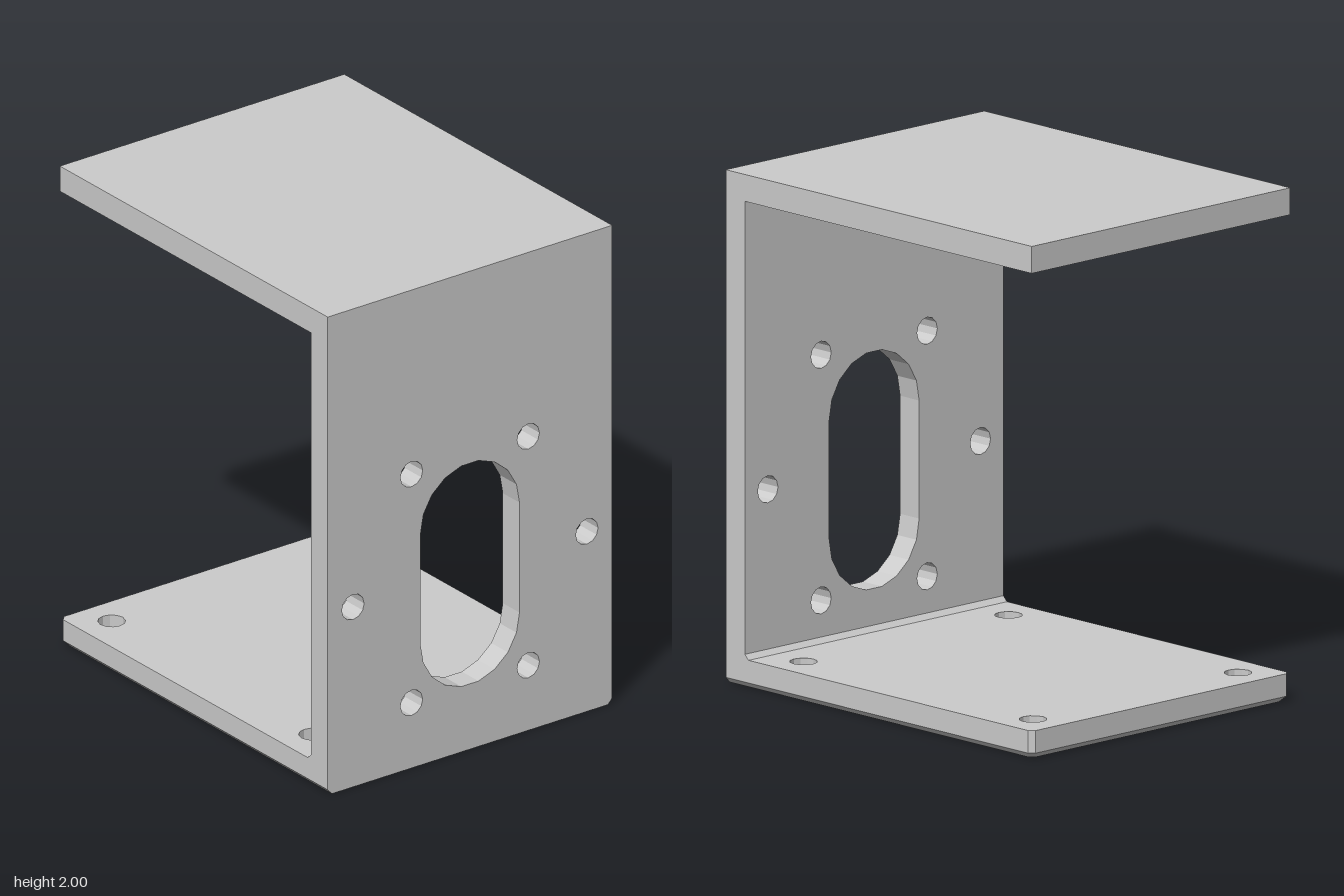
import * as THREE from 'three';

const W = 0.675, D = 0.84, H = 2, T = 0.105, BASE = 0.11, CUT = 0.02;
const HOLE = 0.053;
const material = new THREE.MeshStandardMaterial({ color: 0xcccccc, flatShading: true });

const shapeOf = (pts) => new THREE.Shape(pts.map(([x, y]) => new THREE.Vector2(x, y)));

// Faceted slot; with no half length it is a round hole
function slot(x, y, radius, half = 0, segs = 6) {
  const pts = [];
  for (const end of [0, 1]) {
    for (let i = 0; i < segs + (half ? 1 : 0); i++) {
      const a = Math.PI * (end + i / segs);
      pts.push(new THREE.Vector2(x + radius * Math.cos(a), y + (end ? -half : half) + radius * Math.sin(a)));
    }
  }
  return new THREE.Path(pts);
}

function part(name, geometry) {
  const mesh = new THREE.Mesh(geometry, material);
  mesh.name = name;
  return mesh;
}

// Base: four screw holes, clipped rear corners, chamfered lower side and rear edges
function basePlate() {
  const shape = shapeOf([
    [-W, -D], [W, -D], [W, D - CUT], [W - CUT, D], [-W + CUT, D], [-W, D - CUT],
  ]);
  for (const x of [-0.535, 0.535]) {
    for (const z of [-0.7, 0.56]) shape.holes.push(slot(x, -z, HOLE));
  }
  const geo = new THREE.ExtrudeGeometry(shape, { depth: BASE, steps: 5, bevelEnabled: false });
  geo.rotateX(-Math.PI / 2);
  const p = geo.attributes.position;
  for (let i = 0; i < p.count; i++) {
    if (p.getY(i) > 0.001) continue;
    const x = p.getX(i), z = p.getZ(i);
    if (Math.abs(x) > 0.62) p.setX(i, x - Math.sign(x) * CUT);
    if (z < -0.8) p.setZ(i, z + CUT);
  }
  geo.computeVertexNormals();
  return part('basePlate', geo);
}

// Front wall: long central slot with six screw holes around it
function frontWall() {
  const shape = shapeOf([[-W, BASE], [W, BASE], [W, H - T], [-W, H - T]]);
  shape.holes.push(slot(0, 0.735, 0.235, 0.23, 9));
  for (const s of [-1, 1]) {
    shape.holes.push(slot(s * 0.277, 1.23, HOLE), slot(s * 0.277, 0.273, HOLE), slot(s * 0.555, 0.753, HOLE));
  }
  const geo = new THREE.ExtrudeGeometry(shape, { depth: T, bevelEnabled: false });
  geo.translate(0, 0, D - T);
  return part('frontWall', geo);
}

// Sloped strip in the inner corner between base and wall
function cornerFillet() {
  const shape = shapeOf([[0, 0], [CUT, 0], [0, CUT]]);
  const geo = new THREE.ExtrudeGeometry(shape, { depth: 2 * W, bevelEnabled: false });
  geo.rotateY(Math.PI / 2);
  geo.translate(-W, BASE, D - T);
  return part('cornerFillet', geo);
}

export function createModel() {
  const model = new THREE.Group();
  model.name = 'mountingBracket';
  const top = part('topPlate', new THREE.BoxGeometry(2 * W, T, 2 * D));
  top.position.y = H - T / 2;
  model.add(basePlate(), frontWall(), cornerFillet(), top);
  return model;
}
